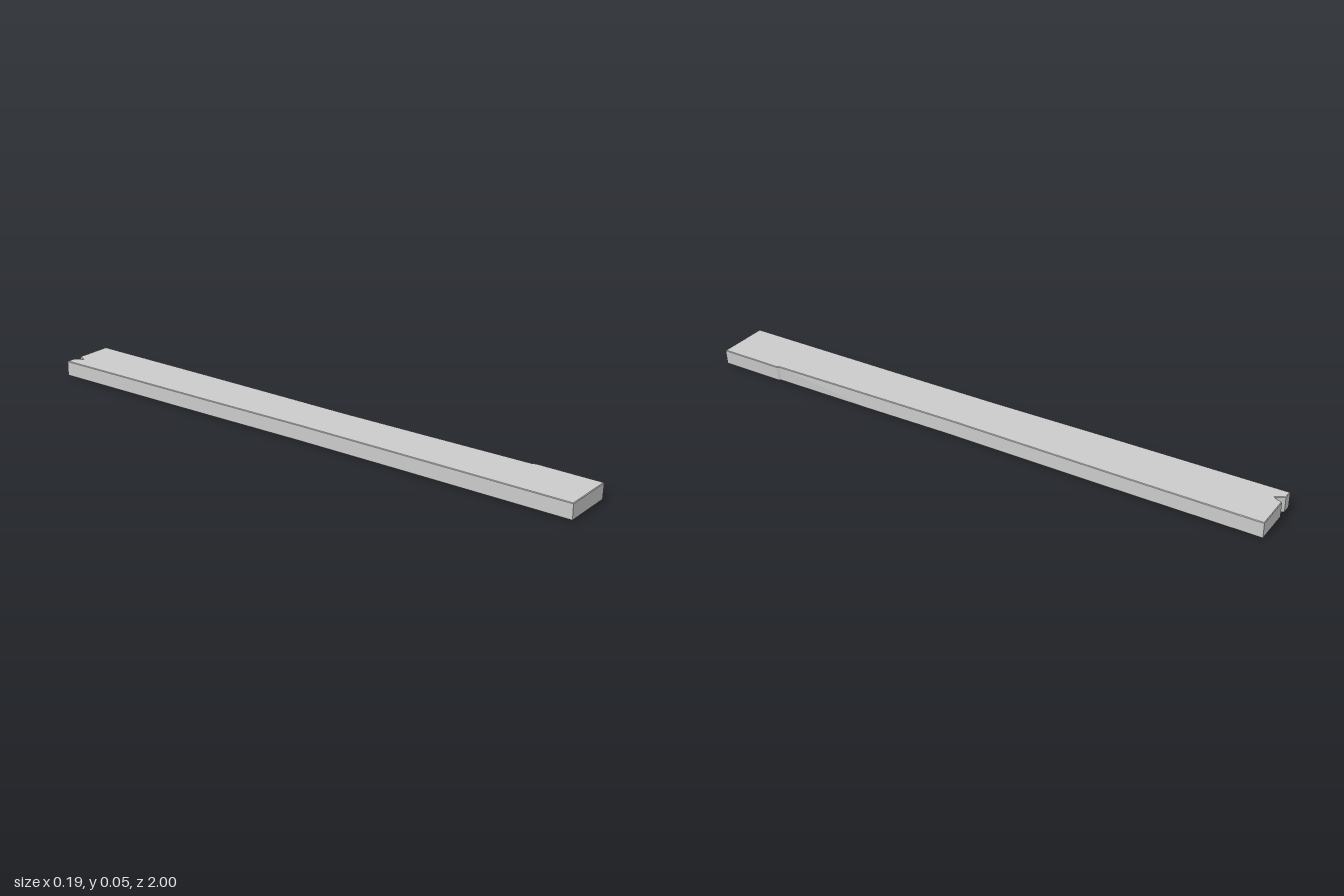
import * as THREE from 'three';

const THICKNESS = 0.054;
const BEVEL = 0.002;

// Plank outline as [x, z], running round from the back right corner
const outline = [
  [-0.098, -1], [-0.066, -1], [-0.058, -0.985], [-0.05, -0.97], [-0.043, -0.982], [-0.036, -1], // split in the back end
  [0.093, -1], [0.091, -0.5], [0.088, -0.2], [0.085, 0.08], [0.088, 0.4], [0.092, 0.765],
  [0.097, 0.775], [0.095, 1],                                                                  // chipped step on the left edge
  [-0.089, 1], [-0.087, 0.4], [-0.087, 0.02], [-0.093, -0.4],
];

export function createModel() {
  const group = new THREE.Group();
  group.name = 'woodenPlank';

  const shape = new THREE.Shape(outline.map(([x, z]) => new THREE.Vector2(x, -z)));
  const geometry = new THREE.ExtrudeGeometry(shape, {
    depth: THICKNESS - 2 * BEVEL,
    bevelEnabled: true,
    bevelThickness: BEVEL,
    bevelSize: BEVEL,
    bevelOffset: -BEVEL,
    bevelSegments: 1,
  });
  geometry.rotateX(-Math.PI / 2);
  geometry.translate(0, BEVEL, 0);

  // Lean the left edge in slightly towards the bottom at the front end
  const pos = geometry.attributes.position;
  for (let i = 0; i < pos.count; i++) {
    if (pos.getX(i) > 0.08 && pos.getZ(i) > 0.7) {
      pos.setX(i, pos.getX(i) - 0.004 * (1 - pos.getY(i) / THICKNESS));
    }
  }
  geometry.computeVertexNormals();

  const plank = new THREE.Mesh(
    geometry,
    new THREE.MeshStandardMaterial({ color: 0xcccccc, flatShading: true })
  );
  plank.name = 'plank';
  group.add(plank);
  return group;
}
